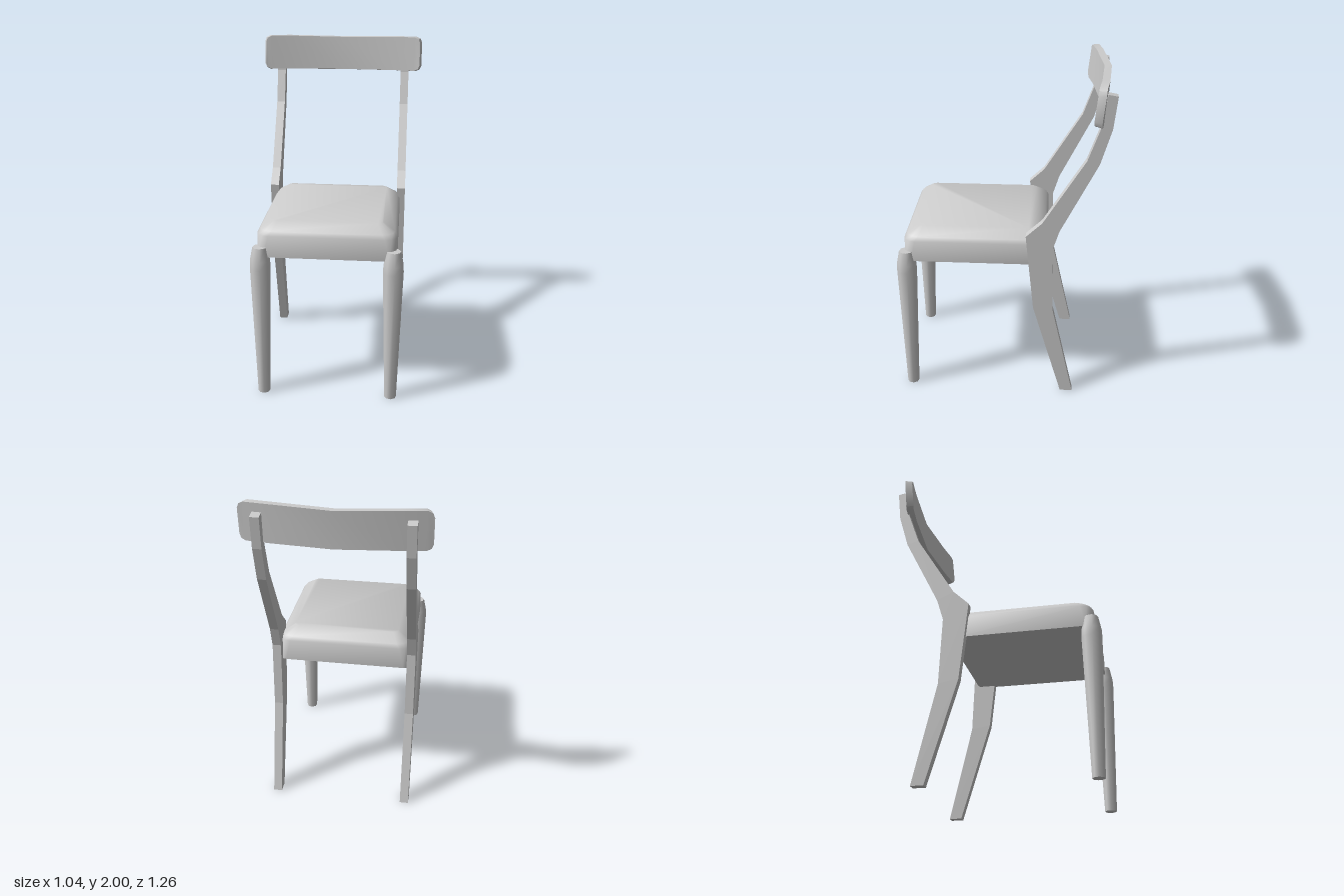
import * as THREE from 'three';
import { toCreasedNormals } from 'three/addons/utils/BufferGeometryUtils.js';

const material = new THREE.MeshStandardMaterial({ color: 0xcccccc });

// Skin equal-length rings of [x, y, z] (counter-clockwise seen from the last ring), capped at both ends.
function loft(name, rings, crease) {
  const n = rings[0].length;
  const last = rings.length - 1;
  const positions = rings.flat(2);
  const index = [];
  for (let i = 0; i < last; i++) {
    for (let j = 0; j < n; j++) {
      const a = i * n + j, b = i * n + (j + 1) % n;
      index.push(a, b, b + n, a, b + n, a + n);
    }
  }
  for (let j = 1; j < n - 1; j++) {
    index.push(0, j + 1, j);
    index.push(last * n, last * n + j, last * n + j + 1);
  }
  const geometry = new THREE.BufferGeometry();
  geometry.setAttribute('position', new THREE.Float32BufferAttribute(positions, 3));
  geometry.setIndex(index);
  const mesh = new THREE.Mesh(toCreasedNormals(geometry, crease), material);
  mesh.name = name;
  return mesh;
}

// Horizontal rounded rectangle
function roundedRing(y, halfX, zBack, zFront, r) {
  const ring = [];
  const corners = [[1, zBack + r], [-1, zBack + r], [-1, zFront - r], [1, zFront - r]];
  corners.forEach(([side, z], k) => {
    for (let s = 0; s <= 3; s++) {
      const a = (k + s / 3) * Math.PI / 2;
      ring.push([side * (halfX - r) + r * Math.cos(a), y, z - r * Math.sin(a)]);
    }
  });
  return ring;
}

// Padded seat with a soft top edge
function createSeat() {
  return loft('seat', [
    roundedRing(0.89, 0.405, -0.272, 0.585, 0.045),
    roundedRing(1.02, 0.405, -0.272, 0.585, 0.07),
    roundedRing(1.045, 0.388, -0.257, 0.568, 0.07),
    roundedRing(1.09, 0.32, -0.19, 0.505, 0.03),
  ], 0.95);
}

// Tapered eight-sided front leg
function createFrontLeg(side) {
  const profile = [[0.036, 0], [0.06, 0.82], [0.058, 0.87], [0.042, 0.95]];
  const rings = profile.map(([r, y]) => Array.from({ length: 8 }, (_, j) => {
    const a = (j + 0.2) * Math.PI / 4;
    return [side * 0.385 + r * Math.cos(a), y, 0.572 - r * Math.sin(a)];
  }));
  return loft('frontLeg', rings, 0.9);
}

// Back leg and upright in one swept board: [front z, front y, back z, back y]
function createBackLeg(side) {
  const sections = [
    [-0.375, 0, -0.45, 0],
    [-0.195, 0.61, -0.315, 0.59],
    [-0.145, 1.09, -0.3, 1.0],
    [-0.24, 1.18, -0.34, 1.13],
    [-0.48, 1.57, -0.55, 1.55],
    [-0.55, 1.77, -0.61, 1.755],
    [-0.575, 1.95, -0.63, 1.94],
  ];
  const x0 = side * 0.411 - 0.026, x1 = side * 0.411 + 0.026;
  return loft('backLeg', sections.map(([zf, yf, zb, yb]) => [
    [x0, yf, zf], [x1, yf, zf], [x1, yb, zb], [x0, yb, zb],
  ]), 0.1);
}

// Curved, slightly tilted top rail with rounded corners: [x, front z, bottom, top]
function createBackrest() {
  const half = [
    [0, -0.575, 1.783, 1.992],
    [0.35, -0.545, 1.785, 2],
    [0.485, -0.525, 1.785, 2],
    [0.51, -0.521, 1.797, 1.988],
    [0.52, -0.519, 1.822, 1.962],
  ];
  const columns = [...half.slice(1).reverse().map(([x, ...rest]) => [-x, ...rest]), ...half];
  return loft('backrest', columns.map(([x, z, bottom, top]) => {
    const lean = 0.015, thick = 0.042, xf = x * 0.975;
    return [
      [xf, bottom, z + lean], [x, bottom - 0.008, z + lean - thick],
      [x, top, z - thick], [xf, top, z],
    ];
  }), 0.6);
}

export function createModel() {
  const chair = new THREE.Group();
  chair.name = 'chair';
  chair.add(createSeat(), createBackrest());
  for (const side of [-1, 1]) chair.add(createFrontLeg(side), createBackLeg(side));
  return chair;
}
